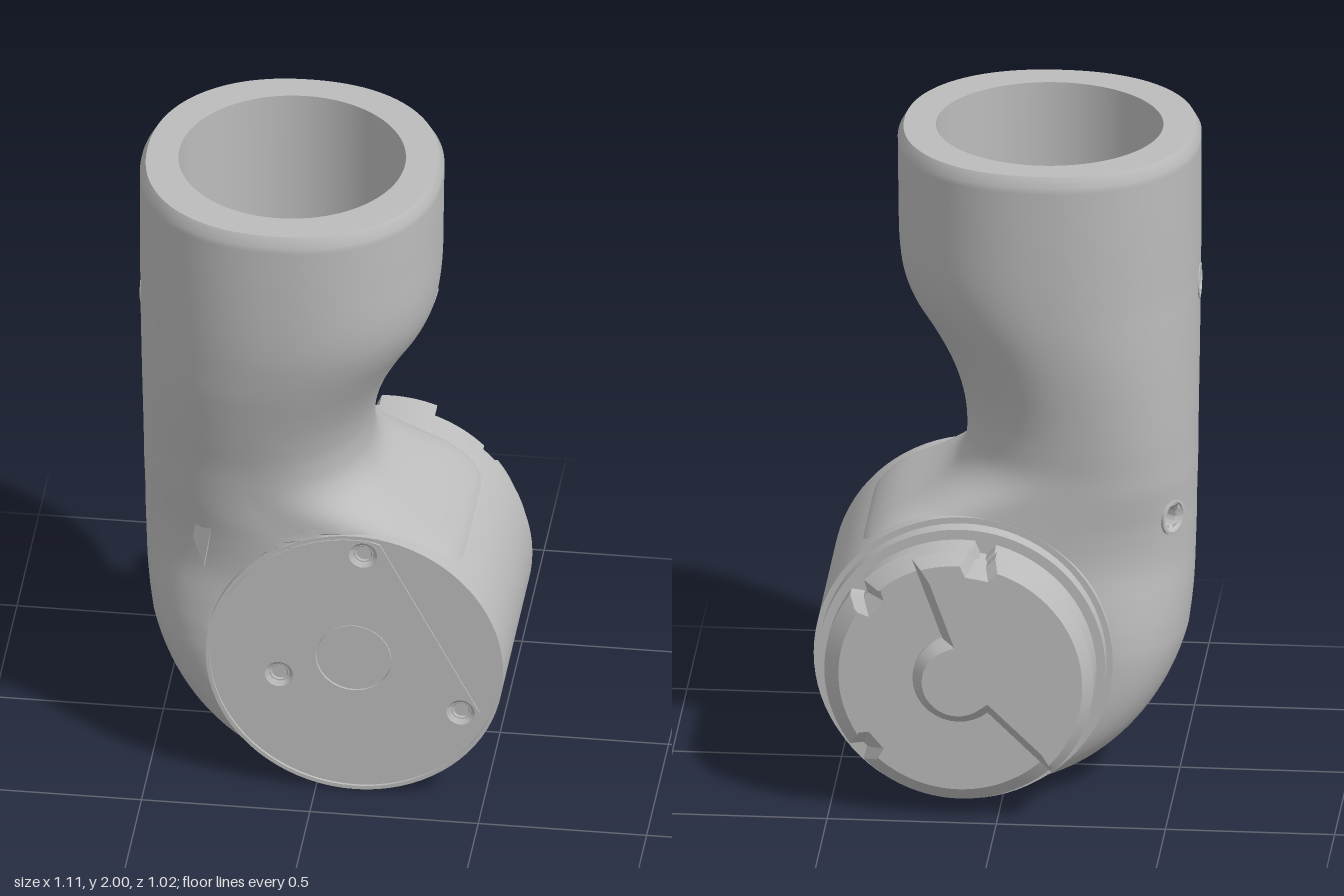
import * as THREE from 'three';
import { toCreasedNormals } from 'three/addons/utils/BufferGeometryUtils.js';

const PX = 0.115, PY = 0.445;      // drum axis
const BX = -0.11, BZ = 0.058;      // socket axis
const rad = THREE.MathUtils.degToRad;
const vec = (x, y, z) => new THREE.Vector3(x, y, z);
const polar = (a, r) => new THREE.Vector2(PX + r * Math.cos(rad(a)), PY + r * Math.sin(rad(a)));
const circle = (x, y, r) => new THREE.Path().absarc(x, y, r, 0, Math.PI * 2);
const disc = (x, y, r) => new THREE.Shape().absarc(x, y, r, 0, Math.PI * 2);

// Screw holes and cable outlet in the skin: name, position, direction
const skinHoles = [
  ['setScrew', vec(0.304, 1.52, 0.06), vec(1, -0.38, 0)],
  ['setScrew', vec(-0.555, 1.52, 0.06), vec(-1, 0, 0)],
  ['cableOutlet', vec(-0.495, 0.85, -0.15), vec(-0.85, 0, -0.52)],
];

// Ring of points: centre, in-plane axis, half sizes, squareness on the -axis and +axis sides
function section(centre, axis, a, hz, n = 2, nPlus = n, count = 144) {
  const ring = [];
  for (let j = 0; j < count; j++) {
    const t = j / count * Math.PI * 2, c = Math.cos(t), s = Math.sin(t);
    const e = 2 / (c > 0 ? nPlus : n);
    ring.push(centre.clone()
      .addScaledVector(axis, a * Math.sign(c) * Math.abs(c) ** e)
      .add(vec(0, 0, hz * Math.sign(s) * Math.abs(s) ** e)));
  }
  return ring;
}

// Skin through the rings, left open at the holes
function loft(rings) {
  const n = rings[0].length, index = [], points = rings.flat();
  for (let i = 0; i < rings.length - 1; i++) {
    for (let j = 0; j < n; j++) {
      const k = (j + 1) % n, a = i * n + j, b = a + n, c = i * n + k, d = c + n;
      const mid = points[a].clone().add(points[d]).multiplyScalar(0.5);
      if (skinHoles.some(h => h[1].distanceTo(mid) < 0.036)) continue;
      index.push(a, b, c, c, b, d);
    }
  }
  const g = new THREE.BufferGeometry().setFromPoints(points);
  g.setIndex(index);
  return toCreasedNormals(g, 0.6);
}

function elbowGeometry() {
  const rings = [], X = vec(1, 0, 0);
  // bend wrapping round the drum, squarer towards the bottom
  for (let i = 0; i < 30; i++) {
    const s = i / 30, th = rad(270 - 90 * s), R = 0.442 + 0.195 * s ** 1.35;
    const out = vec(Math.cos(th), Math.sin(th), 0);
    const centre = vec(PX, PY, 0.0333).addScaledVector(out, (R + 0.05) / 2);
    rings.push(section(centre, out.clone().negate(), (R - 0.05) / 2, 0.331, 5 - 2.8 * s ** 0.7));
  }
  // neck and socket: y, left edge, right edge, front, back, squareness at the drum side
  const rows = [
    [0.445, -0.522, 0.065, 0.364, -0.2975, 2.2],
    [0.52, -0.532, 0.13, 0.364, -0.2975, 2.3],
    [0.60, -0.539, 0.25, 0.364, -0.2975, 3],
    [0.70, -0.543, 0.42, 0.364, -0.2975, 6],
    [0.76, -0.545, 0.424, 0.364, -0.2975, 8],
    [0.80, -0.546, 0.391, 0.364, -0.2975, 8],
    [0.84, -0.546, 0.342, 0.364, -0.2975, 7],
    [0.88, -0.547, 0.272, 0.3645, -0.2975, 5],
    [0.92, -0.548, 0.208, 0.3655, -0.298, 4],
    [0.96, -0.549, 0.163, 0.368, -0.299, 3.1],
    [1.01, -0.549, 0.137, 0.374, -0.301, 2.5],
    [1.10, -0.55, 0.13, 0.39, -0.312, 2.2],
    [1.20, -0.551, 0.146, 0.417, -0.325, 2.1],
    [1.30, -0.552, 0.182, 0.444, -0.34, 2.1],
    [1.40, -0.553, 0.237, 0.47, -0.355, 2.1],
    [1.48, -0.554, 0.289, 0.486, -0.365, 2.1],
    [1.55, -0.554, 0.317, 0.497, -0.371, 2.15],
    [1.63, -0.555, 0.33, 0.504, -0.376, 2.2],
    [1.80, -0.556, 0.335, 0.51, -0.382, 2.2],
    [1.97, -0.556, 0.337, 0.511, -0.385, 2.2],
  ];
  const smooth = new THREE.CubicInterpolant(rows.map(r => r[0]), rows.flatMap(r => r.slice(1)), 5);
  const level = (y, inset) => {
    const [l, r, f, b, n] = smooth.evaluate(Math.min(y, 1.97));
    rings.push(section(vec((l + r) / 2, y, (f + b) / 2), X, (r - l) / 2 - inset, (f - b) / 2 - inset, 2.2, n));
  };
  for (let i = 0; i <= 76; i++) level(0.445 + 1.525 * i / 76, 0);
  level(2, 0.017);
  // sink the skin behind the drum's front plates
  for (const p of rings.flat()) {
    if (Math.hypot(p.x - PX, p.y - PY) < 0.43) p.z = Math.min(p.z, 0.343);
  }
  // bore and its stepped floor
  for (const [y, r] of [[2, 0.335], [1.45, 0.335], [1.45, 0.19], [1.4, 0.19]]) {
    rings.push(section(vec(BX, y, BZ), X, r, r));
  }
  return loft(rings);
}

// Cap outline with small notches in the edge
function capArc(from, to) {
  const pts = [];
  for (let a = from; a <= to; a += 3) {
    const notched = [100, 40, 320].some(c => Math.abs(a - c) < 4);
    pts.push(polar(a, notched ? 0.365 : 0.4));
  }
  return pts;
}

export function createModel() {
  const model = new THREE.Group();
  const grey = new THREE.MeshStandardMaterial({ color: 0xbcbcbc, side: THREE.DoubleSide });
  grey.name = 'plain grey';
  const add = (name, geometry, x = 0, y = 0, z = 0) => {
    const mesh = new THREE.Mesh(geometry, grey);
    mesh.name = name;
    mesh.position.set(x, y, z);
    model.add(mesh);
    return mesh;
  };
  // Same, with the part's +z turned to a surface direction
  const addFacing = (name, geometry, pos, dir) =>
    add(name, geometry, ...pos.toArray()).lookAt(pos.clone().add(dir));
  const extrude = (shape, depth, opts = {}) =>
    new THREE.ExtrudeGeometry(shape, { depth, bevelEnabled: false, curveSegments: 48, ...opts });
  const lathe = (pts, seg = 80) => toCreasedNormals(
    new THREE.LatheGeometry(pts.map(p => new THREE.Vector2(...p)), seg).rotateX(Math.PI / 2), 0.5);

  add('elbowBody', elbowGeometry());

  // Bore floor with a cross-shaped opening, rounded at the arm ends
  const crossPts = [];
  for (let i = 0; i < 4; i++) {
    for (const [x, y] of [[0.055, -0.04], [0.125, -0.034], [0.145, -0.02], [0.15, 0], [0.145, 0.02], [0.125, 0.034], [0.055, 0.04]]) {
      crossPts.push(new THREE.Vector2(x, y).rotateAround(new THREE.Vector2(), i * Math.PI / 2));
    }
  }
  const floor = disc(0, 0, 0.192);
  floor.holes.push(new THREE.Path(crossPts));
  add('boreFloor', extrude(floor, 0.04).rotateX(-Math.PI / 2), BX, 1.36, BZ);
  add('boreFloorBacking', new THREE.CylinderGeometry(0.19, 0.19, 0.01, 48), BX, 1.357, BZ);
  add('crossPin', new THREE.CylinderGeometry(0.035, 0.035, 0.03, 24), BX, 1.375, BZ);

  // Drum with a stepped ring behind and a recess in front
  add('drum', lathe([[0, -0.355], [0.425, -0.355], [0.425, -0.303], [0.42, -0.303], [0.42, -0.298],
    [0.442, -0.298], [0.442, 0.366], [0.43, 0.366], [0.43, 0.345], [0, 0.345]]), PX, PY, 0);

  // Front face plate and the raised five-sided cover on it
  const screws = [[0.14, 0.82], [-0.11, 0.385], [0.43, 0.295]];
  const cutHoles = shape => {
    shape.holes.push(circle(0.112, 0.46, 0.113));
    screws.forEach(([x, y]) => shape.holes.push(circle(x, y, 0.042)));
    return shape;
  };
  add('frontPlate', extrude(cutHoles(disc(PX, PY, 0.43)), 0.013), 0, 0, 0.345);
  const coverPts = [[-0.285, 0.62], [-0.16, 0.36], [0.12, 0.145], [0.475, 0.255], [0.485, 0.3], [0.19, 0.86]]
    .map(p => new THREE.Vector2(...p));
  for (let a = 84; a < 154; a += 5) coverPts.push(polar(a, 0.426));
  add('frontCover', extrude(cutHoles(new THREE.Shape(coverPts)), 0.006), 0, 0, 0.357);
  add('hubDisc', new THREE.CylinderGeometry(0.11, 0.11, 0.015, 48).rotateX(Math.PI / 2), 0.112, 0.46, 0.3535);
  for (const [x, y] of screws) {
    add('coverScrew', lathe([[0.042, 0.014], [0.03, 0.006], [0.026, 0.006], [0.022, 0.001], [0, 0.001]], 24), x, y, 0.345);
  }

  // Back cap: notched disc with a raised half and round boss
  const bevel = { bevelEnabled: true, bevelSegments: 1 };
  const low = extrude(new THREE.Shape(capArc(0, 357)), 0.05,
    { ...bevel, bevelSize: 0.045, bevelOffset: -0.045, bevelThickness: 0.04 });
  add('backCap', toCreasedNormals(low, 0.5), 0, 0, -0.42);
  const half = capArc(70, 226);
  for (let a = 230; a <= 430; a += 10) half.push(polar(a, 0.135));
  const raised = extrude(new THREE.Shape(half), 0.08,
    { ...bevel, bevelSize: 0.03, bevelOffset: -0.03, bevelThickness: 0.035 });
  add('raisedCapHalf', toCreasedNormals(raised, 0.5), 0, 0, -0.475);

  // Countersunk sleeves lining the skin holes
  const sleeve = lathe([[0.054, -0.008], [0.054, 0.001], [0.045, 0.002], [0.03, -0.016], [0.028, -0.05], [0, -0.05]], 28);
  for (const [name, pos, dir] of skinHoles) addFacing(name, sleeve, pos, dir);

  // Cable slot on the front
  const slot = new THREE.Shape([[0.03, 0.09], [0.03, 0.01], [0.005, -0.13], [-0.03, -0.04], [-0.02, 0.04]]
    .map(p => new THREE.Vector2(...p)));
  addFacing('cableSlot', extrude(slot, 0.008), vec(-0.34, 0.85, 0.317), vec(-0.42, 0, 1));

  return model;
}
